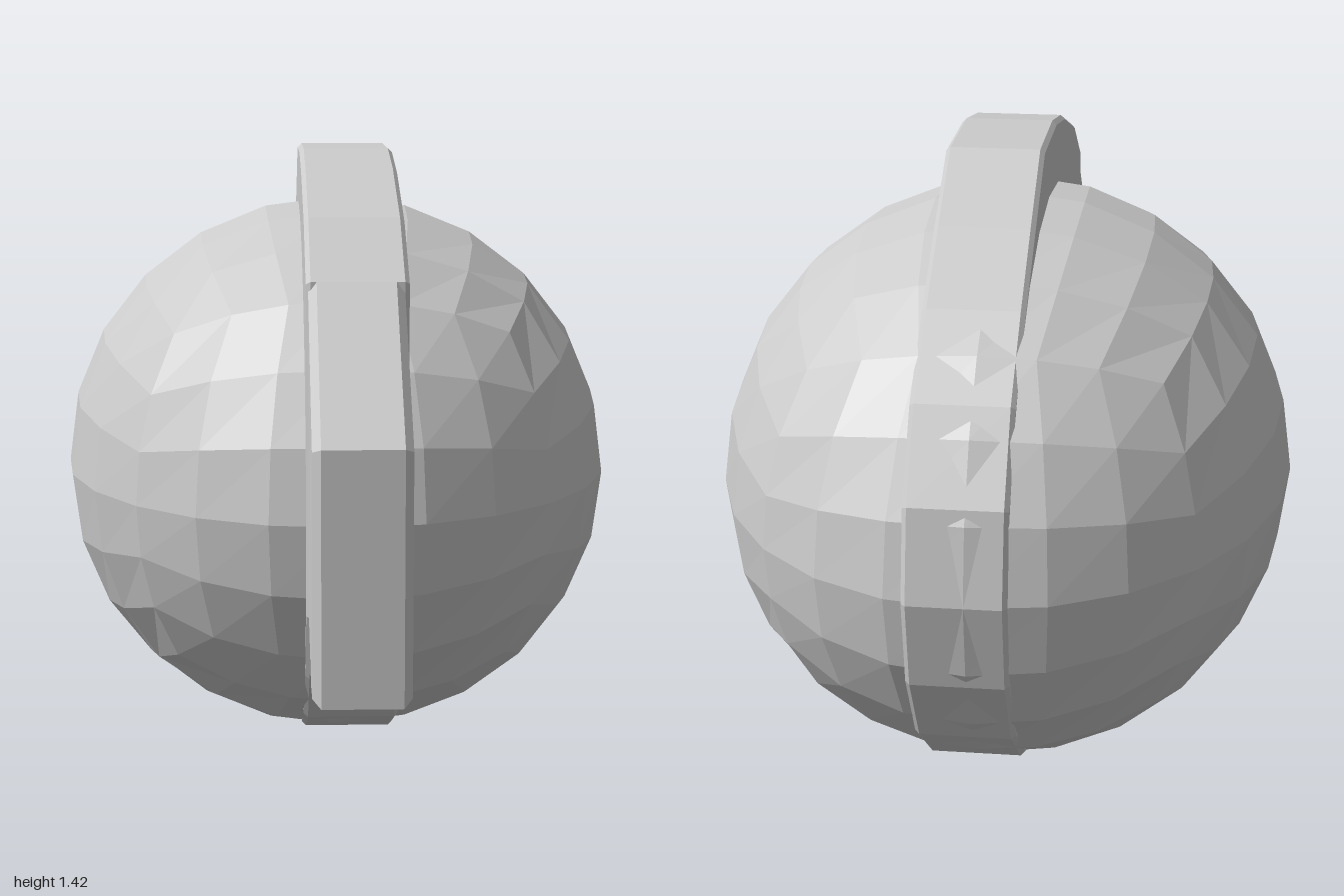
import * as THREE from 'three';

const material = new THREE.MeshStandardMaterial({ color: 0xcccccc, flatShading: true });
const CENTER = { y: 0.65, z: -0.165 };
const RADIUS = { x: 0.66, y: 0.65, z: 0.835 };

// Faceted ellipsoid with an even quad grid: a cube pushed out to a ball
function ellipsoid(segments) {
  const geo = new THREE.BoxGeometry(2, 2, 2, segments, segments, segments);
  const pos = geo.attributes.position;
  const v = new THREE.Vector3();
  const spread = (t) => Math.tan((t * Math.PI) / 4);
  for (let i = 0; i < pos.count; i++) {
    v.fromBufferAttribute(pos, i);
    v.set(spread(v.x), spread(v.y), spread(v.z)).normalize();
    pos.setXYZ(i, v.x * RADIUS.x, v.y * RADIUS.y + CENTER.y, v.z * RADIUS.z + CENTER.z);
  }
  geo.computeVertexNormals();
  return geo;
}

// Upright slab: outline of [z, y] points extruded across x with a small bevel
function slab(points, xMin, xMax, bevel) {
  const shape = new THREE.Shape(points.map(([z, y]) => new THREE.Vector2(z, y)));
  const geo = new THREE.ExtrudeGeometry(shape, {
    depth: xMax - xMin - 2 * bevel,
    bevelEnabled: true,
    bevelThickness: bevel,
    bevelSize: bevel,
    bevelOffset: -bevel,
    bevelSegments: 1,
  });
  geo.rotateY(-Math.PI / 2);
  geo.translate(xMax - bevel, 0, 0);
  return geo;
}

export function createModel() {
  const group = new THREE.Group();
  const add = (name, geo) => {
    const mesh = new THREE.Mesh(geo, material);
    mesh.name = name;
    group.add(mesh);
  };

  add('body', ellipsoid(6));

  // Raised crest over the top, running flush with the body behind and below
  const crest = [[0.675, 0.45], [0.675, 1.18], [0.48, 1.3], [0.2, 1.39], [0, 1.425], [-0.27, 1.425], [-0.47, 1.3]];
  for (let deg = 126; deg <= 324; deg += 18) {
    const a = THREE.MathUtils.degToRad(deg);
    crest.push([CENTER.z + RADIUS.z * Math.cos(a), CENTER.y + RADIUS.y * Math.sin(a)]);
  }
  add('crest', slab(crest, -0.09, 0.13, 0.01));

  // Blunt snout projecting from the front of the crest
  const snout = [[0.6, 0.48], [0.87, 0.34], [1, 0.345], [1, 0.88], [0.675, 1.18], [0.6, 1.2]];
  add('snout', slab(snout, -0.085, 0.12, 0.018));

  return group;
}
